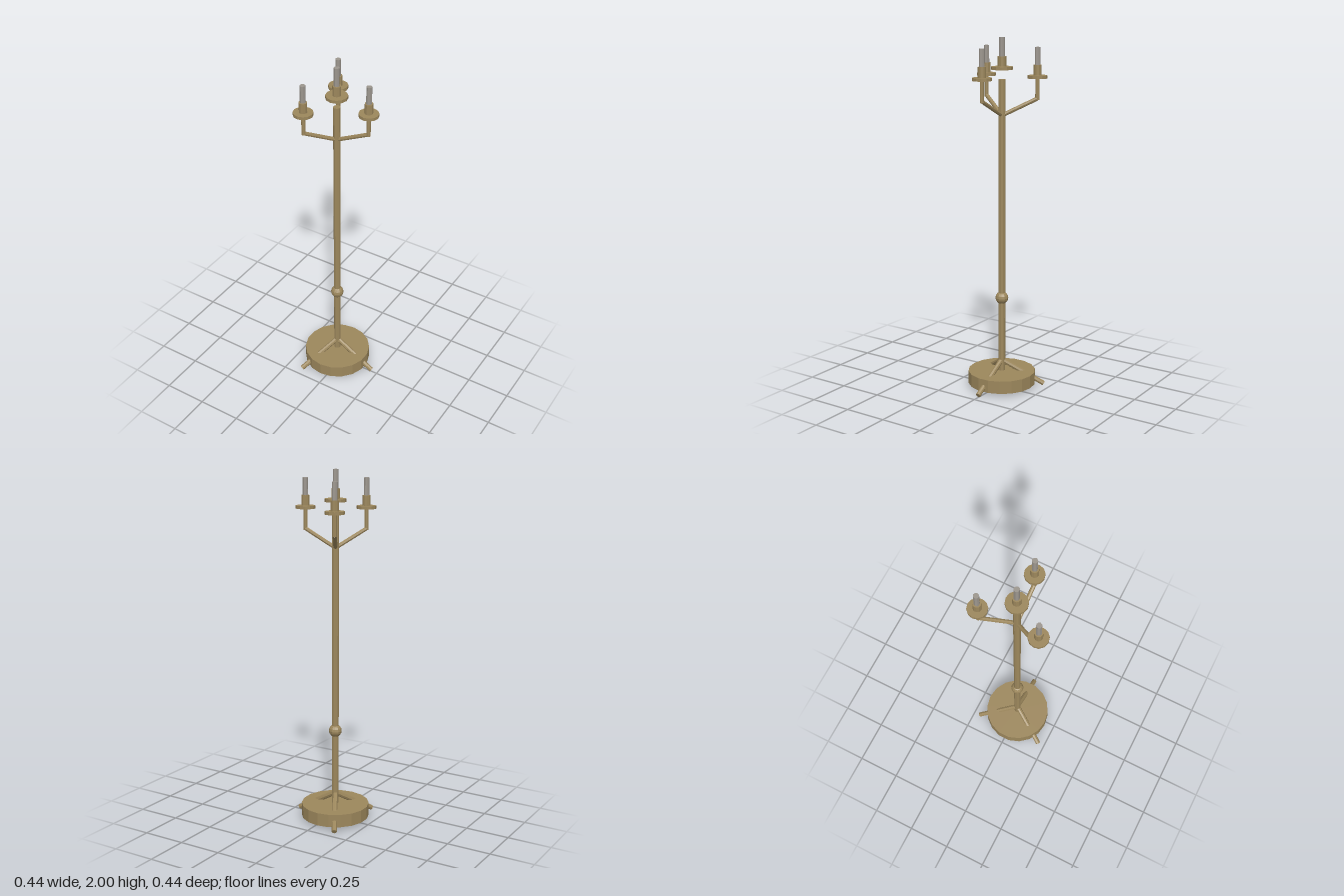
import * as THREE from 'three';

const brass = new THREE.MeshStandardMaterial({ color: 0x9c875c, flatShading: true });
const wax = new THREE.MeshStandardMaterial({ color: 0x9c968e, flatShading: true });

function add(parent, name, geometry, material = brass) {
  const mesh = new THREE.Mesh(geometry, material);
  mesh.name = name;
  parent.add(mesh);
  return mesh;
}

// Upright cylinder between two heights
function post(parent, name, radius, y0, y1, sides, material) {
  const mesh = add(parent, name, new THREE.CylinderGeometry(radius, radius, y1 - y0, sides), material);
  mesh.position.y = (y0 + y1) / 2;
  return mesh;
}

// Sloping rod in the xy plane between two points
function rod(parent, name, radius, from, to) {
  const a = new THREE.Vector3(...from, 0);
  const b = new THREE.Vector3(...to, 0);
  const dir = b.clone().sub(a);
  const mesh = add(parent, name, new THREE.CylinderGeometry(radius, radius, dir.length(), 8));
  mesh.position.copy(a).add(b).multiplyScalar(0.5);
  mesh.quaternion.setFromUnitVectors(new THREE.Vector3(0, 1, 0), dir.normalize());
}

// Drip pan, cup and candle, standing on local y = 0
function candleHolder(panRadius, cupRadius, cupTop, candleTop) {
  const holder = new THREE.Group();
  holder.name = 'candleHolder';
  post(holder, 'dripPan', panRadius, 0, 0.017, 12);
  post(holder, 'cup', cupRadius, 0.017, cupTop, 10);
  post(holder, 'candle', 0.0155, cupTop, candleTop, 8, wax);
  return holder;
}

export function createModel() {
  const model = new THREE.Group();
  model.name = 'floorCandelabrum';

  // Everything stands around an axis slightly off centre
  const stand = new THREE.Group();
  stand.name = 'stand';
  stand.position.x = -0.03;
  model.add(stand);

  post(stand, 'base', 0.194, 0.017, 0.091, 18);
  post(stand, 'pole', 0.02, 0.088, 1.772, 10);
  add(stand, 'knob', new THREE.SphereGeometry(0.037, 12, 8)).position.y = 0.527;

  // Central holder, floating just above the pole
  const centre = candleHolder(0.06, 0.0235, 0.072, 0.175);
  centre.position.y = 1.825;
  stand.add(centre);

  // Three legs and three arms spaced evenly around the pole
  for (let i = 0; i < 3; i++) {
    const branch = new THREE.Group();
    branch.name = 'branch';
    branch.rotation.y = (i * Math.PI * 2) / 3;
    stand.add(branch);

    rod(branch, 'leg', 0.0145, [0, 0.153], [0.243, 0.0125]);
    rod(branch, 'armSlope', 0.0115, [0, 1.574], [0.194, 1.668]);
    post(branch, 'armUpright', 0.0115, 1.66, 1.78, 8).position.x = 0.194;

    const holder = candleHolder(0.054, 0.0225, 0.074, 0.17);
    holder.position.set(0.194, 1.778, 0);
    holder.rotation.y = -branch.rotation.y;
    branch.add(holder);
  }
  return model;
}
